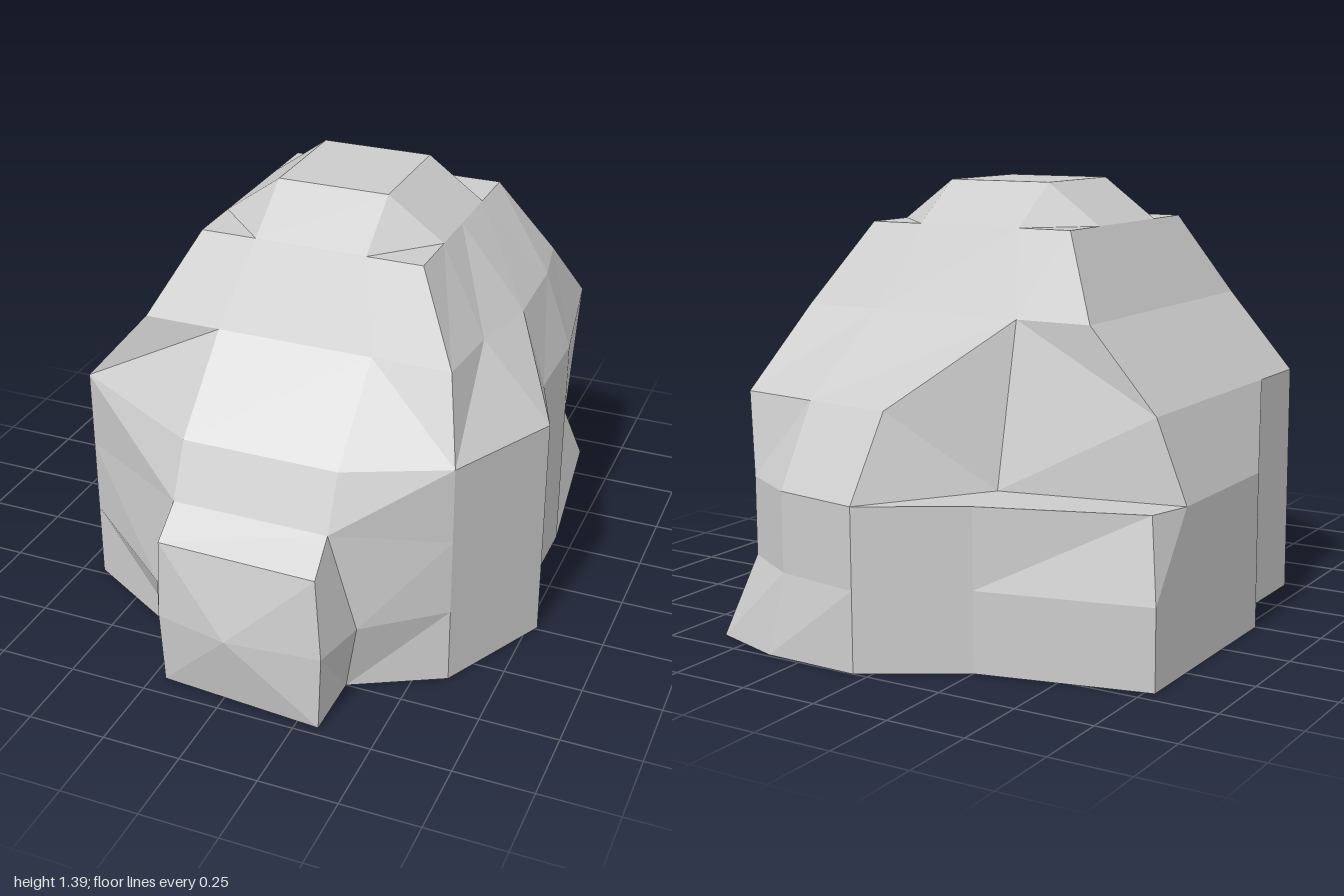
import * as THREE from 'three';

// Skins a stack of loops (all with the same number of corners).
// flips[layer] lists the quads split along the other diagonal.
function loft(rings, { flips = [], startCentre, endCentre }) {
  const pos = [];
  const n = rings[0].length;
  const same = (p, q) => p.every((v, i) => v === q[i]);
  const tri = (p, q, r) => {
    if (!same(p, q) && !same(q, r) && !same(r, p)) pos.push(...p, ...q, ...r);
  };
  for (let i = 0; i < rings.length - 1; i++) {
    for (let j = 0; j < n; j++) {
      const k = (j + 1) % n;
      const a = rings[i][j], b = rings[i][k], c = rings[i + 1][k], d = rings[i + 1][j];
      if (flips[i]?.includes(j)) { tri(a, b, d); tri(b, c, d); }
      else { tri(a, b, c); tri(a, c, d); }
    }
  }
  const last = rings[rings.length - 1];
  for (let j = 0; j < n; j++) {
    const k = (j + 1) % n;
    if (startCentre) tri(startCentre, rings[0][k], rings[0][j]);
    if (endCentre) tri(endCentre, last[j], last[k]);
  }
  const geo = new THREE.BufferGeometry();
  geo.setAttribute('position', new THREE.Float32BufferAttribute(pos, 3));
  geo.computeVertexNormals();
  return geo;
}

// A horizontal loop of [x, z] corners; a third number overrides the height.
const level = (y, pts) => pts.map(([x, z, h = y]) => [x, h, z]);

export function createModel() {
  const group = new THREE.Group();
  const stone = new THREE.MeshStandardMaterial({ color: 0xcccccc, flatShading: true });
  const add = (name, geo) => {
    const mesh = new THREE.Mesh(geo, stone);
    mesh.name = name;
    group.add(mesh);
  };

  // Upright walls shared by the lower levels: left flank, then right flank
  const leftWall = [[0.6, 0.6], [0.78, 0.24], [0.69, 0], [0.69, -0.3]];
  const rightWall = [[-0.78, -0.51], [-0.78, 0], [-0.68, 0.24], [-0.68, 0.48]];

  // Each loop runs: front pair, left flank, back corners, right flank
  const ground = level(0, [[-0.21, 0.75], [0.32, 0.75], ...leftWall,
    [0.61, -0.91], [0.37, -0.99], [0.05, -1], [-0.25, -0.82], [-0.78, -0.7], ...rightWall]);
  const low = level(0.25, [[-0.3, 0.79], [0.37, 0.79], ...leftWall,
    [0.54, -0.83], [0.34, -0.95], [0.05, -1], [-0.25, -0.82], [-0.78, -0.7], ...rightWall]);
  const middle = level(0.5, [[-0.21, 0.82, 0.58], [0.29, 0.82, 0.58], ...leftWall,
    [0.54, -0.83], [0.34, -0.95], [0.05, -1], [-0.25, -0.82], [-0.74, -0.65], ...rightWall]);
  const upper = level(0.75, [[-0.21, 0.74], [0.29, 0.74], ...leftWall,
    [0.61, -0.76], [0.34, -0.8], [0.05, -0.83], [-0.21, -0.62, 0.5], [-0.21, -0.62, 0.5],
    [-0.68, -0.51], [-0.68, 0], [-0.68, 0.24], [-0.68, 0.48]]);
  const shoulder = level(1, [[-0.21, 0.48], [0.29, 0.48],
    [0.54, 0.48], [0.56, 0.24], [0.61, 0], [0.6, -0.3],
    [0.56, -0.51], [0.3, -0.51], [-0.21, -0.51], [-0.21, -0.51], [-0.21, -0.51],
    [-0.46, -0.51], [-0.46, 0], [-0.46, 0.24], [-0.46, 0.48]]);
  const brow = level(1.26, [[-0.14, 0.35], [0.22, 0.35],
    [0.4, 0.35], [0.4, 0.17], [0.4, 0], [0.4, -0.2],
    [0.4, -0.38], [0.22, -0.38], [-0.14, -0.38], [-0.14, -0.38], [-0.14, -0.38],
    [-0.32, -0.38], [-0.32, -0.2], [-0.32, 0.17], [-0.32, 0.35]]);

  // Flat corner ledges: each corner folds in to its neighbour
  const ledge = brow.slice();
  for (const [corner, neighbour] of [[2, 1], [6, 7], [11, 10], [14, 0]]) ledge[corner] = brow[neighbour];

  // Square summit: the brow clamped to the top plate
  const summit = brow.map(([x, , z]) => [
    THREE.MathUtils.clamp(x, -0.14, 0.22), 1.39, THREE.MathUtils.clamp(z, -0.2, 0.17)]);

  add('boulder', loft([ground, low, middle, upper, shoulder, brow, ledge, summit], {
    flips: [[14], [14], [14, 10], [1, 10]],
    startCentre: [0, 0, 0],
    endCentre: [0.04, 1.39, -0.015],
  }));

  // Faceted outcrop on the front
  const root = [[-0.21, 0.58, 0.82], [-0.3, 0.25, 0.79], [-0.21, 0, 0.75],
    [0.32, 0, 0.75], [0.37, 0.25, 0.79], [0.29, 0.58, 0.82]];
  const face = [[-0.21, 0.5, 0.93], [-0.21, 0.25, 0.95], [-0.21, 0, 0.93],
    [0.32, 0, 0.97], [0.33, 0.25, 0.97], [0.3, 0.5, 0.94]];
  add('frontOutcrop', loft([root, face], { endCentre: [0.03, 0.25, 1] }));

  return group;
}
